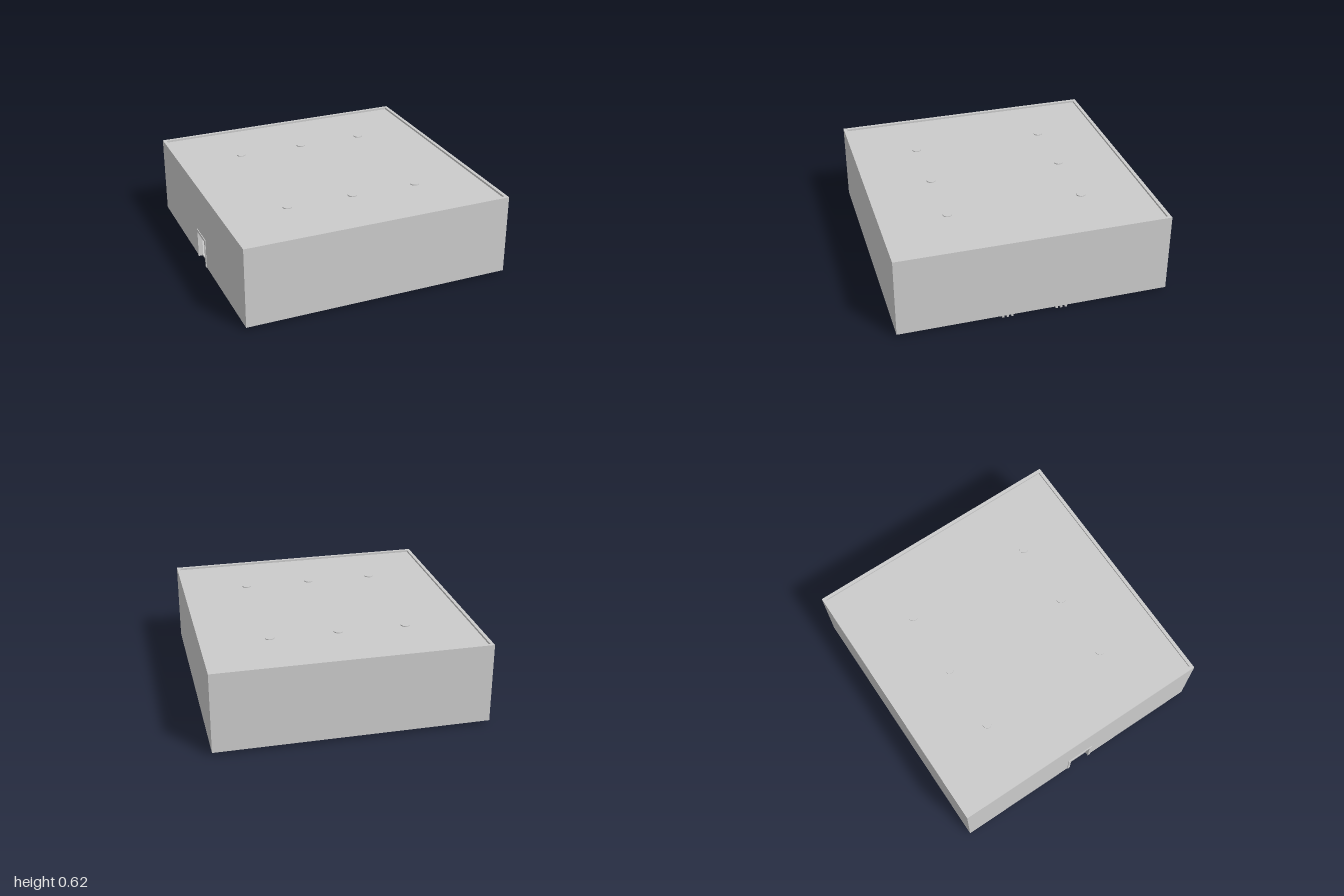
import * as THREE from 'three';

const BASE = 0.024, TOP = 0.62, HALF = 0.995, WALL = 0.025;

export function createModel() {
  const model = new THREE.Group();
  model.name = 'hall';
  const material = new THREE.MeshStandardMaterial({ color: 0xcccccc, flatShading: true });

  const add = (name, geometry, parent = model) => {
    const mesh = new THREE.Mesh(geometry, material);
    mesh.name = name;
    parent.add(mesh);
    return mesh;
  };
  // Box given by its lowest and highest corners
  const box = (name, a, b, parent) => {
    const mesh = add(name, new THREE.BoxGeometry(b[0] - a[0], b[1] - a[1], b[2] - a[2]), parent);
    mesh.position.set((a[0] + b[0]) / 2, (a[1] + b[1]) / 2, (a[2] + b[2]) / 2);
    return mesh;
  };
  const group = (name) => {
    const g = new THREE.Group();
    g.name = name;
    model.add(g);
    return g;
  };

  // Floor slab and the roof slab set just below the wall tops
  const inner = HALF - WALL;
  box('floor', [-inner, BASE, -inner], [inner + 0.005, BASE + 0.012, inner]);
  box('roof', [-inner, TOP - 0.035, -inner], [inner + 0.005, TOP - 0.015, inner]);

  // Three plain walls
  const walls = group('walls');
  box('leftWall', [1 - WALL, BASE, -HALF], [1, TOP, HALF], walls);
  for (const [name, s] of [['frontWall', 1], ['backWall', -1]]) {
    const z = s * (HALF - WALL / 2);
    box(name, [-inner, BASE, z - WALL / 2], [1 - WALL, TOP, z + WALL / 2], walls);
  }

  // Wall with the doorway cut out, drawn in z and y and turned to run along z
  const doorHalf = 0.085, doorTop = 0.23;
  const outline = new THREE.Shape([
    [-HALF, BASE], [-doorHalf, BASE], [-doorHalf, doorTop], [doorHalf, doorTop],
    [doorHalf, BASE], [HALF, BASE], [HALF, TOP], [-HALF, TOP],
  ].map(([u, v]) => new THREE.Vector2(u, v)));
  const doorWall = add('doorWall',
    new THREE.ExtrudeGeometry(outline, { depth: WALL, bevelEnabled: false }), walls);
  doorWall.rotation.y = -Math.PI / 2;
  doorWall.position.x = -inner;

  // Door frame, standing slightly proud of the wall on both faces
  const frame = group('doorFrame');
  const x0 = -1, x1 = -inner + 0.005, f = 0.02;
  for (const s of [-1, 1]) {
    const z = s * (doorHalf + f / 2);
    box('doorJamb', [x0, BASE, z - f / 2], [x1, doorTop, z + f / 2], frame);
  }
  box('doorHead', [x0, doorTop, -doorHalf - f], [x1, doorTop + f, doorHalf + f], frame);

  // Three nested U-shaped ribs under the floor, open towards the left wall
  const ribs = group('underfloorRibs');
  const t = 0.015;
  for (let i = 0; i < 3; i++) {
    const w = 0.24 - i * 0.034, x = 0.595 + i * 0.034;
    for (const s of [-1, 1]) {
      const z = s * (w - t / 2);
      box('ribSide', [x, 0, z - t / 2], [0.99, BASE + 0.006, z + t / 2], ribs);
    }
    box('ribEnd', [x, 0, -w + t], [x + t, BASE + 0.006, w - t], ribs);
  }

  // Two rows of round lamps passing through the roof
  const lamps = group('ceilingLamps');
  for (const z of [-0.5, 0.5]) {
    for (const x of [-0.5, 0, 0.5]) {
      const lamp = add('lamp', new THREE.CylinderGeometry(0.034, 0.034, 0.04, 24), lamps);
      lamp.position.set(x, TOP - 0.028, z);
    }
  }
  return model;
}
